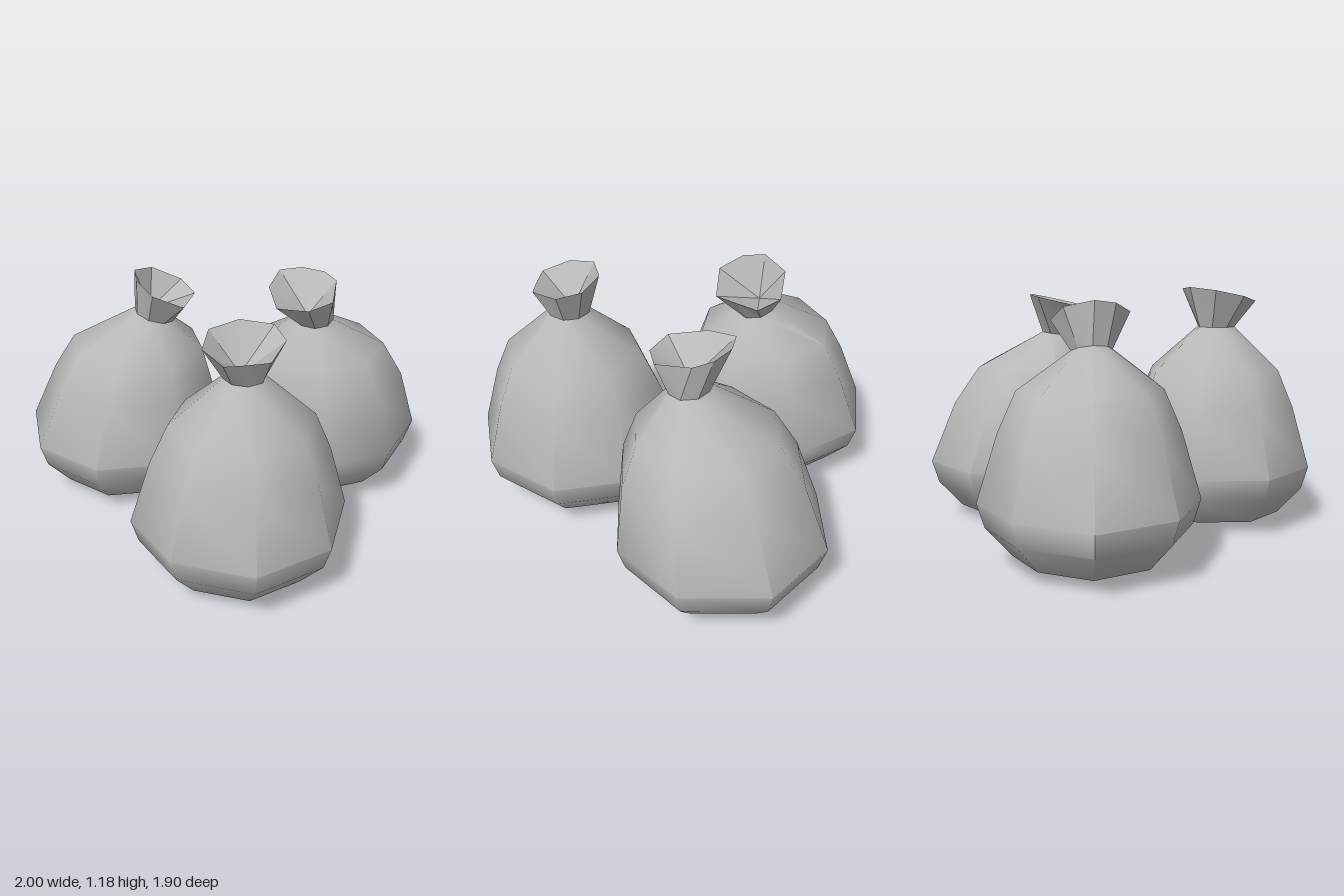
import * as THREE from 'three';
import { toCreasedNormals } from 'three/addons/utils/BufferGeometryUtils.js';

// Skin a stack of equal-length rings (theta increasing from +x to +z, bottom to top)
function loft(rings, crease) {
  const pos = [];
  const tri = (a, b, c) => {
    const n = b.clone().sub(a).cross(c.clone().sub(a));
    if (n.length() > 1e-7) for (const p of [a, b, c]) pos.push(p.x, p.y, p.z);
  };
  for (let r = 0; r < rings.length - 1; r++) {
    const lo = rings[r], hi = rings[r + 1], n = lo.length;
    for (let i = 0; i < n; i++) {
      const j = (i + 1) % n;
      tri(lo[i], hi[i], hi[j]);
      tri(lo[i], hi[j], lo[j]);
    }
  }
  const g = new THREE.BufferGeometry();
  g.setAttribute('position', new THREE.Float32BufferAttribute(pos, 3));
  return toCreasedNormals(g, crease);
}

// Body profile: height, scale of the widest outline, lean towards the neck
const profile = (waist) => [
  [0, 0, 0], [0.05, 0.69, 0], [0.18, 0.93, 0], [0.29, 1, 0],
  [0.59, waist, 0.28], [0.77, 0.66, 0.46],
];
const NECK_SCALE = 0.19;

// Per bag: widest outline, base centre, neck centre and tilt, rim outline and tilt (all x, z)
const BAGS = [
  {
    name: 'frontBag', base: [0.18, 0.47], waist: 0.82, neck: [0.2, 0.98, 0.48], neckTilt: [0, 0],
    outline: [[0.04, -0.03], [0.43, 0.03], [0.66, 0.32], [0.61, 0.71], [0.31, 0.95], [-0.06, 0.89], [-0.29, 0.61], [-0.23, 0.24]],
    rim: [[0.16, 0.33], [0.31, 0.33], [0.37, 0.43], [0.32, 0.59], [0.22, 0.63], [0.13, 0.66], [0.03, 0.57], [0.04, 0.43]],
    rimCentre: [0.2, 1.14, 0.49], rimTilt: [-0.1, -0.22], pinch: [0.18, 0.99, 0.47],
  },
  {
    name: 'rightBag', base: [-0.49, -0.28], waist: 0.82, neck: [-0.32, 0.935, -0.24], neckTilt: [-0.3, 0],
    outline: [[-0.43, -0.77], [-0.12, -0.59], [0.01, -0.24], [-0.17, 0.1], [-0.54, 0.21], [-0.87, 0.03], [-1, -0.34], [-0.78, -0.65]],
    rim: [[-0.21, -0.41], [-0.13, -0.33], [-0.14, -0.22], [-0.15, -0.11], [-0.29, -0.06], [-0.38, -0.14], [-0.41, -0.24], [-0.35, -0.37]],
    rimCentre: [-0.27, 1.09, -0.23], rimTilt: [-0.5, 0], pinch: [-0.34, 0.96, -0.25],
  },
  {
    name: 'leftBag', base: [0.5, -0.47], waist: 0.85, neck: [0.46, 0.935, -0.28], neckTilt: [0, -0.1],
    outline: [[0.45, -0.95], [0.82, -0.85], [1, -0.5], [0.87, -0.14], [0.56, 0.03], [0.21, -0.09], [-0.01, -0.4], [0.12, -0.77]],
    rim: [[0.39, -0.44], [0.5, -0.41], [0.56, -0.34], [0.55, -0.16], [0.44, -0.08], [0.29, -0.09], [0.24, -0.26], [0.28, -0.41]],
    rimCentre: [0.41, 1.1, -0.27], rimTilt: [0, -0.23], pinch: [0.43, 0.96, -0.27],
  },
];

// Point offset from a centre on a tilted plane
const tilted = ([cx, cy, cz], [tx, tz], dx, dz) =>
  new THREE.Vector3(cx + dx, cy + dx * tx + dz * tz, cz + dz);

function makeBag(b, material) {
  const bag = new THREE.Group();
  bag.name = b.name;
  const [bx, bz] = b.base;
  const add = (name, rings, crease) => {
    const mesh = new THREE.Mesh(loft(rings, crease), material);
    mesh.name = name;
    bag.add(mesh);
  };

  // Sagging body, leaning into the neck
  const bodyRings = profile(b.waist).map(([y, s, lean]) => b.outline.map(([x, z]) => new THREE.Vector3(
    bx + (x - bx) * s + (b.neck[0] - bx) * lean, y,
    bz + (z - bz) * s + (b.neck[2] - bz) * lean)));
  const neckRing = b.outline.map(([x, z]) =>
    tilted(b.neck, b.neckTilt, (x - bx) * NECK_SCALE, (z - bz) * NECK_SCALE));
  add('bagBody', [...bodyRings, neckRing], 0.9);

  // Flared collar: outer wall up to the rim, inner wall down to the pinch
  const [rx, , rz] = b.rimCentre;
  const rimRing = b.rim.map(([x, z]) => tilted(b.rimCentre, b.rimTilt, x - rx, z - rz));
  const pinchRing = b.rim.map(() => new THREE.Vector3(...b.pinch));
  add('collarOutside', [neckRing, rimRing], 0.5);
  add('collarInside', [rimRing, pinchRing], 0.5);
  return bag;
}

export function createModel() {
  const plastic = new THREE.MeshStandardMaterial({ color: 0xb8b8b8 });
  plastic.name = 'light grey plastic';
  const group = new THREE.Group();
  group.name = 'tiedBags';
  for (const b of BAGS) group.add(makeBag(b, plastic));
  return group;
}
